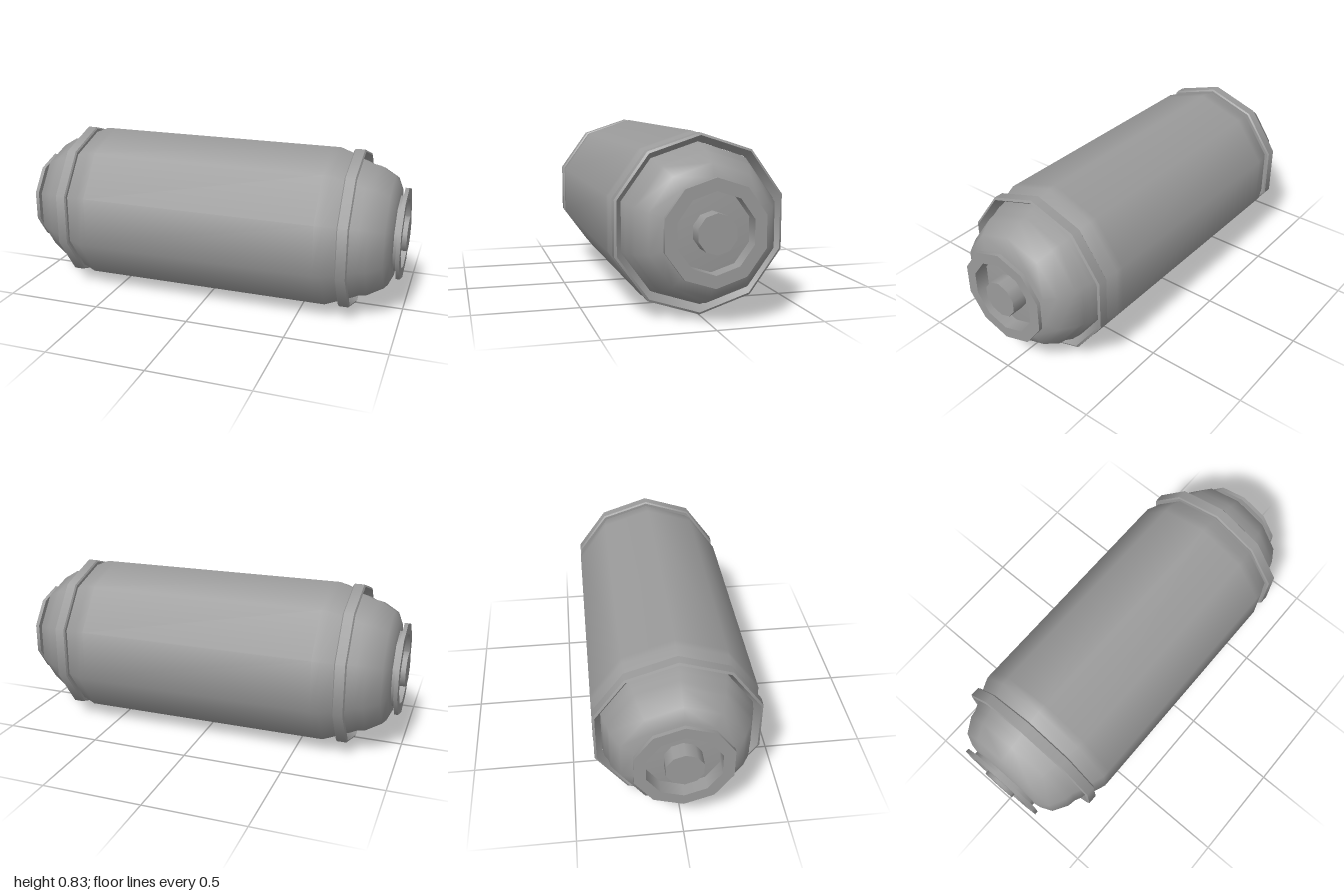
import * as THREE from 'three';

const SIDES = 10;
const RADIUS = 0.413;

const metal = new THREE.MeshStandardMaterial({ color: 0x9b9b9b });

// Ten-sided turned part along x, smooth around its girth; the profile is [x, radius] pairs
function turned(name, profile) {
  const points = profile.map(([x, r]) => new THREE.Vector2(r, x));
  const geometry = new THREE.LatheGeometry(points, SIDES, Math.PI / 2);
  geometry.rotateZ(-Math.PI / 2);
  const mesh = new THREE.Mesh(geometry, metal);
  mesh.name = name;
  return mesh;
}

// Same, with a hard edge at each profile point (doubled points split the normals)
function turnedSharp(name, profile) {
  return turned(name, profile.flatMap((p) => [p, p]).slice(1, -1));
}

function createEnd(name) {
  const end = new THREE.Group();
  end.name = name;

  // Raised band with a recessed, funnel-shaped inner lip
  end.add(turnedSharp('band', [
    [0.706, 0.37], [0.706, 0.403], [0.712, 0.411], [0.759, 0.411],
    [0.765, 0.40], [0.72, 0.37],
  ]));

  // Rounded cap
  end.add(turned('cap', [
    [0.71, 0.37], [0.765, 0.361], [0.80, 0.344], [0.84, 0.337],
    [0.915, 0.292], [0.942, 0.232], [0.948, 0.195],
  ]));

  // Neck and flanged collar around an open socket
  end.add(turnedSharp('collar', [
    [0.94, 0.195], [0.966, 0.195], [0.966, 0.237], [0.985, 0.237],
    [0.985, 0.18], [0.915, 0.18],
  ]));
  end.add(turned('socketFloor', [[0.915, 0.18], [0.922, 0.09], [0.922, 0]]));

  // Central contact pin
  end.add(turnedSharp('pin', [[0.91, 0.09], [1, 0.09], [1, 0]]));
  return end;
}

export function createModel() {
  const model = new THREE.Group();
  model.name = 'canister';
  model.position.y = RADIUS;

  // Drum with a softly shaded tapered shoulder at each end
  model.add(turned('drum', [
    [-0.715, 0.388], [-0.70, 0.388], [-0.64, RADIUS], [-0.60, RADIUS],
    [0.60, RADIUS], [0.64, RADIUS], [0.70, 0.388], [0.715, 0.388],
  ]));

  const leftEnd = createEnd('leftEnd');
  const rightEnd = createEnd('rightEnd');
  rightEnd.rotation.y = Math.PI;
  model.add(leftEnd, rightEnd);
  return model;
}
